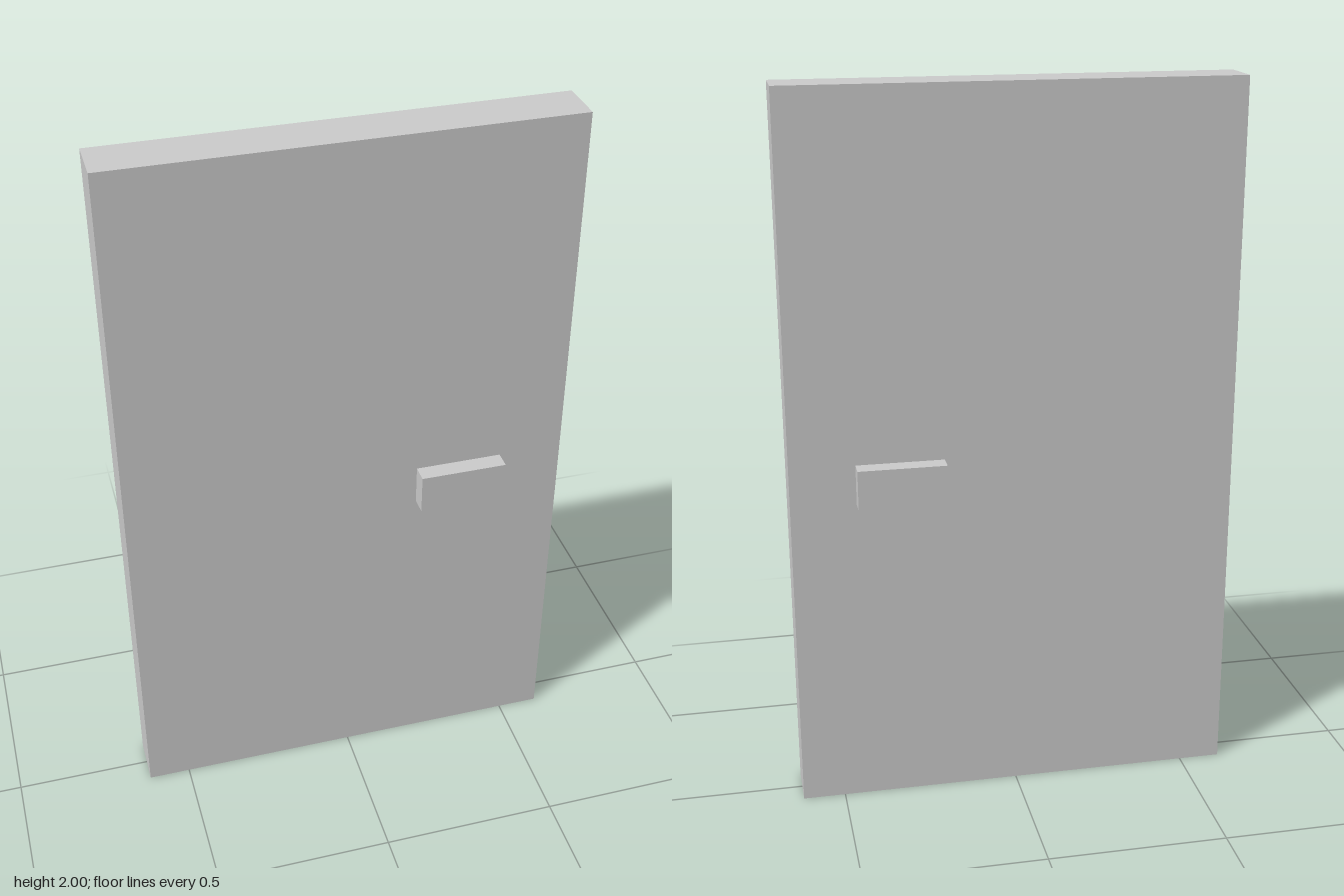
import * as THREE from 'three';

export function createModel() {
  const model = new THREE.Group();
  model.name = 'door';
  const material = new THREE.MeshStandardMaterial({ color: 0xcccccc, flatShading: true });

  const addBox = (name, size, position) => {
    const mesh = new THREE.Mesh(new THREE.BoxGeometry(...size), material);
    mesh.name = name;
    mesh.position.set(...position);
    model.add(mesh);
  };

  // Door slab
  const thickness = 0.135;
  addBox('doorPanel', [1.236, 2, thickness], [0, 1, 0]);

  // Matching handle blocks on both faces
  const depth = 0.05;
  for (const [name, side] of [['frontHandle', 1], ['backHandle', -1]]) {
    addBox(name, [0.242, 0.112, depth], [0.318, 0.944, side * (thickness + depth) / 2]);
  }

  return model;
}
